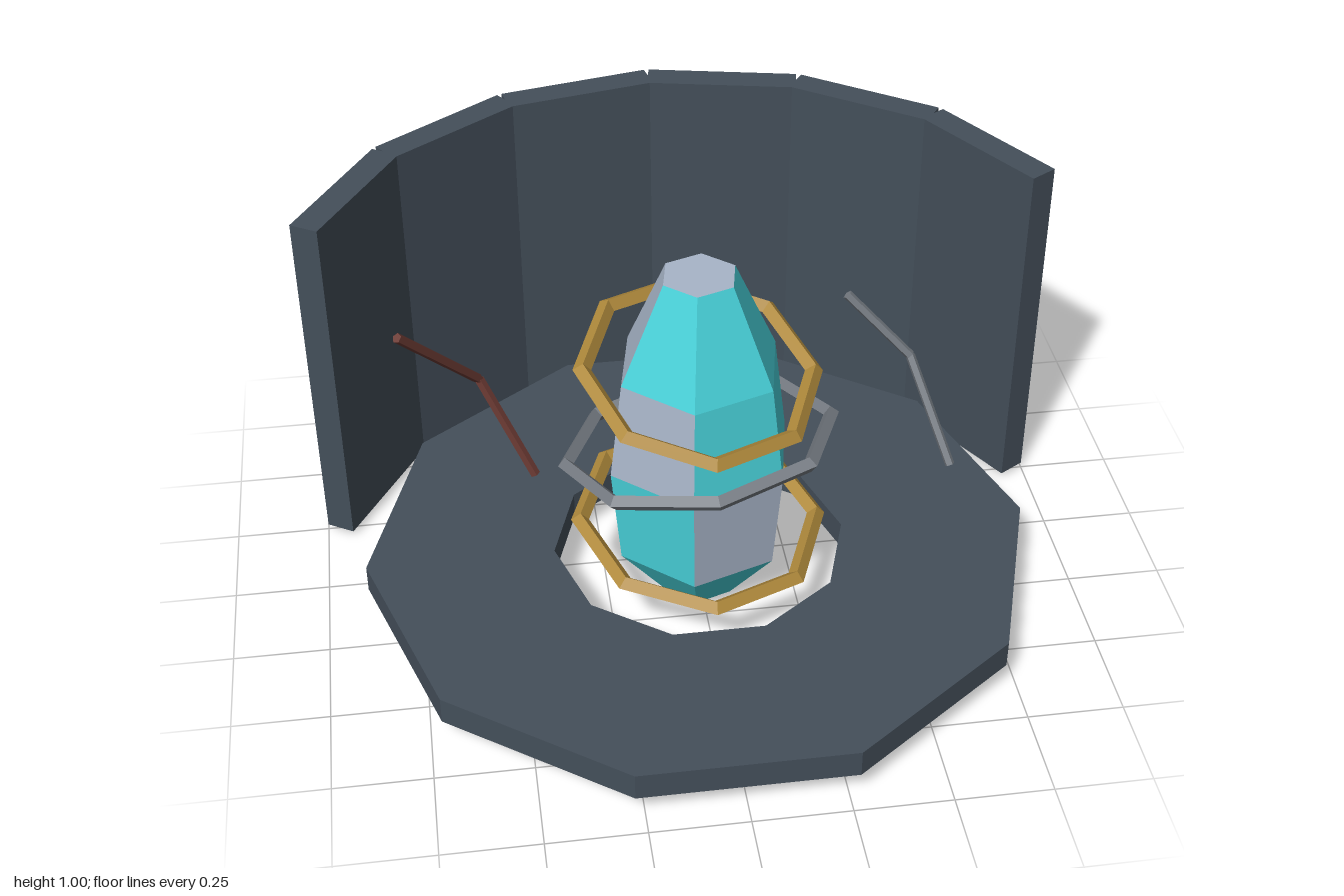
import * as THREE from 'three';

const CZ = 0.105; // z of the common axis

function material(name, color) {
  const m = new THREE.MeshStandardMaterial({ color, flatShading: true });
  m.name = name;
  return m;
}

function polygon(target, radius, sides) {
  const pts = [];
  for (let i = 0; i < sides; i++) {
    const a = (i / sides) * Math.PI * 2;
    pts.push(new THREE.Vector2(Math.cos(a) * radius, Math.sin(a) * radius));
  }
  return target.setFromPoints(pts);
}

export function createModel() {
  const model = new THREE.Group();
  model.name = 'crystalShrine';

  const slate = material('slate', 0x444f5a);
  const cyan = material('cyan crystal', 0x48d1d9);
  const pale = material('pale crystal', 0xa8b5c8);
  const gold = material('gold', 0xb08a3c);
  const steel = material('steel', 0x767c83);
  const rust = material('rust', 0x6b3a33);

  function add(name, geometry, mat, parent = model) {
    const mesh = new THREE.Mesh(geometry, mat);
    mesh.name = name;
    parent.add(mesh);
    return mesh;
  }

  // Ten-sided floor plate with a ten-sided hole
  const plate = polygon(new THREE.Shape(), 0.89, 10);
  plate.holes.push(polygon(new THREE.Path(), 0.39, 10));
  const plateGeo = new THREE.ExtrudeGeometry(plate, { depth: 0.075, bevelEnabled: false });
  plateGeo.rotateX(-Math.PI / 2);
  add('floorPlate', plateGeo, slate).position.set(0, 0.07, CZ);

  // Curved back wall of six flat panels
  const wall = new THREE.Group();
  wall.name = 'backWall';
  wall.position.z = CZ;
  model.add(wall);
  for (let i = 0; i < 6; i++) {
    const a = THREE.MathUtils.degToRad((i - 2.5) * 23.6);
    const panel = add('wallPanel', new THREE.BoxGeometry(0.42, 0.985, 0.08), slate, wall);
    panel.position.set(Math.sin(a), 0.5075, -Math.cos(a));
    panel.rotation.y = -a;
  }

  // Six-sided crystal: levels are [y, radius]; each band lists its pale facets
  const levels = [[0, 0.1], [0.17, 0.23], [0.45, 0.255], [0.72, 0.22], [0.987, 0.1]];
  const paleFacets = [[4, 5], [0], [1], [2]];
  const turn = THREE.MathUtils.degToRad(41);
  const corner = ([y, r], i) => {
    const a = turn + (i * Math.PI) / 3;
    return [Math.cos(a) * r, y, Math.sin(a) * r];
  };
  const cyanPts = [];
  const palePts = [];
  for (let i = 0; i < 6; i++) {
    for (let b = 0; b < 4; b++) {
      const a0 = corner(levels[b], i), b0 = corner(levels[b], i + 1);
      const a1 = corner(levels[b + 1], i), b1 = corner(levels[b + 1], i + 1);
      const list = paleFacets[b].includes(i) ? palePts : cyanPts;
      list.push(...a0, ...a1, ...b1, ...a0, ...b1, ...b0);
    }
    // End caps
    const [low, high] = [levels[0], levels[4]];
    palePts.push(0, high[0], 0, ...corner(high, i + 1), ...corner(high, i));
    palePts.push(0, low[0], 0, ...corner(low, i), ...corner(low, i + 1));
  }
  const crystalGeo = new THREE.BufferGeometry();
  crystalGeo.setAttribute('position',
    new THREE.Float32BufferAttribute([...cyanPts, ...palePts], 3));
  crystalGeo.addGroup(0, cyanPts.length / 3, 0);
  crystalGeo.addGroup(cyanPts.length / 3, palePts.length / 3, 1);
  crystalGeo.computeVertexNormals();
  add('crystal', crystalGeo, [cyan, pale]).position.z = CZ;

  // Tilted eight-sided rings around the crystal
  const rings = [
    ['upperRing', 0.70, 0.302, 0.024, 0.27, -0.13, gold],
    ['middleRing', 0.48, 0.352, 0.021, -0.18, 0.12, steel],
    ['lowerRing', 0.22, 0.32, 0.024, 0.15, -0.09, gold],
  ];
  for (const [name, y, radius, tube, tiltX, tiltZ, mat] of rings) {
    const geo = new THREE.TorusGeometry(radius, tube, 4, 8).rotateX(Math.PI / 2);
    const ring = add(name, geo, mat);
    ring.position.set(0, y, CZ);
    ring.rotation.set(tiltX, 0, tiltZ);
  }

  // Bent rods floating on either side
  function bentRod(name, mat, points) {
    const group = new THREE.Group();
    group.name = name;
    model.add(group);
    const p = points.map((c) => new THREE.Vector3(...c));
    for (let i = 0; i < p.length - 1; i++) {
      const dir = p[i + 1].clone().sub(p[i]);
      const geo = new THREE.CylinderGeometry(0.014, 0.014, dir.length(), 5);
      const rod = add('rodSegment', geo, mat, group);
      rod.position.copy(p[i]).addScaledVector(dir, 0.5);
      rod.quaternion.setFromUnitVectors(new THREE.Vector3(0, 1, 0), dir.normalize());
    }
  }
  bentRod('rightRod', rust, [[-0.755, 0.735, -0.095], [-0.55, 0.46, -0.27], [-0.415, 0.17, -0.2]]);
  bentRod('leftRod', steel, [[0.465, 0.63, -0.285], [0.64, 0.445, -0.235], [0.735, 0.17, -0.08]]);

  return model;
}
